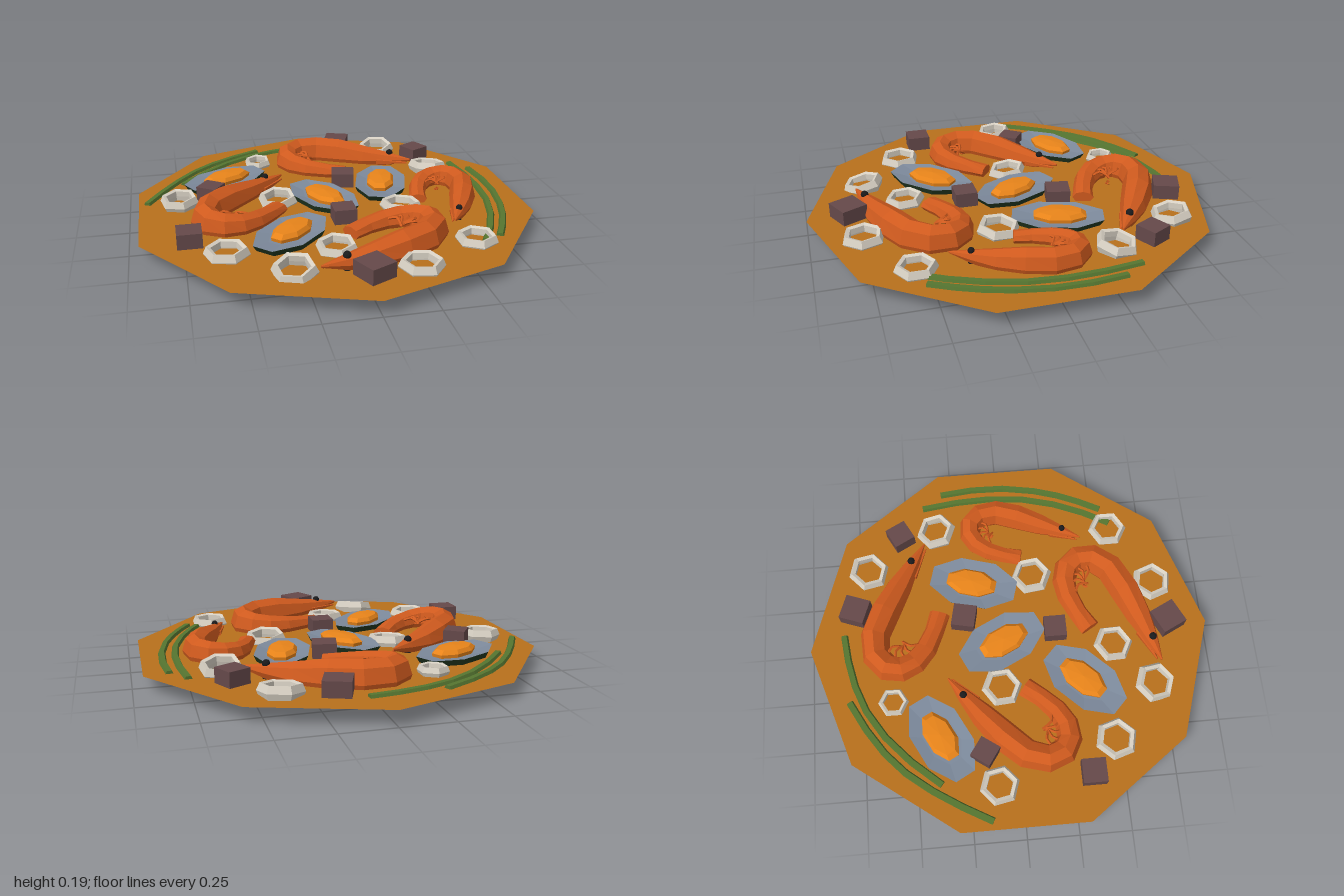
import * as THREE from 'three';

const mat = (color, side = THREE.FrontSide) => new THREE.MeshStandardMaterial({ color, flatShading: true, side });
const sauceMat = mat(0xb8701c, THREE.DoubleSide);
const prawnMat = mat(0xcf5a1e);
const eyeMat = mat(0x1a1a1c);
const shellMat = mat(0x21361f);
const pearlMat = mat(0x7d8a9c);
const fleshMat = mat(0xe8841a);
const ringMat = mat(0xd6cfc2);
const cubeMat = mat(0x65494a);
const beanMat = mat(0x557530);

function add(parent, name, geometry, material, x = 0, y = 0, z = 0) {
  const mesh = new THREE.Mesh(geometry, material);
  mesh.name = name;
  mesh.position.set(x, y, z);
  parent.add(mesh);
  return mesh;
}

// Capped loft of ellipses along a path; each station is [x, y, z, halfWidth, halfHeight]
function loft(stations, sides) {
  const pos = [], index = [], n = stations.length;
  const at = (i) => new THREE.Vector3(...stations[Math.min(Math.max(i, 0), n - 1)].slice(0, 3));
  const up = new THREE.Vector3(0, 1, 0);
  stations.forEach(([x, y, z, w, h], i) => {
    const dir = at(i + 1).sub(at(i - 1)).setY(0).normalize();
    const side = up.clone().cross(dir);
    for (let j = 0; j < sides; j++) {
      const a = ((j + 0.5) / sides) * Math.PI * 2 + Math.PI / sides;
      pos.push(x + side.x * w * Math.cos(a), y + h * Math.sin(a), z + side.z * w * Math.cos(a));
    }
  });
  for (let i = 0; i < n - 1; i++) {
    for (let j = 0; j < sides; j++) {
      const k = (j + 1) % sides, a = i * sides, b = a + sides;
      index.push(a + j, a + k, b + k, a + j, b + k, b + j);
    }
  }
  const first = n * sides, end = (n - 1) * sides;
  pos.push(...at(0).toArray(), ...at(n - 1).toArray());
  for (let j = 0; j < sides; j++) {
    const k = (j + 1) % sides;
    index.push(first, k, j, first + 1, end + j, end + k);
  }
  const g = new THREE.BufferGeometry();
  g.setAttribute('position', new THREE.Float32BufferAttribute(pos, 3));
  g.setIndex(index);
  g.computeVertexNormals();
  return g;
}

const lathe = (profile, sides, phi = 0) =>
  new THREE.LatheGeometry(profile.map(([x, y]) => new THREE.Vector2(x, y)), sides, phi);

// Curled prawn lying on its side, origin at the middle of its curl
function makePrawn() {
  const prawn = new THREE.Group();
  prawn.name = 'prawn';
  const body = [
    [0.55, 0.02, 0.14, 0.004, 0.006], [0.45, 0.01, 0.075, 0.036, 0.036], [0.33, 0, 0.0, 0.064, 0.068],
    [0.2, 0, -0.075, 0.077, 0.092], [0.07, 0, -0.132, 0.074, 0.095], [-0.04, 0, -0.128, 0.07, 0.093],
    [-0.103, 0, -0.075, 0.068, 0.088], [-0.115, 0, -0.005, 0.064, 0.078], [-0.085, 0, 0.062, 0.06, 0.067],
    [-0.02, 0, 0.12, 0.055, 0.055], [0.07, 0, 0.165, 0.049, 0.042], [0.165, 0, 0.198, 0.052, 0.03],
  ];
  add(prawn, 'prawnBody', loft(body, 8), prawnMat);
  add(prawn, 'prawnFeeler', loft([[0.38, 0, 0.07, 0.025, 0.02], [0.53, 0.005, 0.145, 0.004, 0.004]], 5), prawnMat);
  for (const s of [1, -1]) {
    add(prawn, 'prawnEye', new THREE.IcosahedronGeometry(0.019, 1), eyeMat, 0.45, 0.01 + s * 0.036, 0.07);
    // Swimming legs curling into the hollow
    for (let i = 0; i < 5; i++) {
      const a = 1.7 + i * 0.6;
      const p = (r, t, y) => new THREE.Vector3(0.01 + r * Math.cos(a + t), s * y, r * Math.sin(a + t));
      const curve = new THREE.CatmullRomCurve3([p(0.085, 0, 0.03), p(0.05, 0.25, 0.04), p(0.02, -0.1, 0.03), p(0.015, -1.4, 0.015)]);
      add(prawn, 'prawnLeg', new THREE.TubeGeometry(curve, 5, 0.007, 4), prawnMat);
    }
  }
  return prawn;
}

// Open mussel: dark bowl, pearly inside, plump flesh
function makeMussel() {
  const mussel = new THREE.Group();
  mussel.name = 'mussel';
  const phi = Math.PI / 8;
  const bowl = lathe([[0, 0.02], [0.55, 0.035], [0.9, 0.07], [1, 0.105]], 8, phi);
  const pearl = lathe([[1, 0.105], [0.6, 0.094], [0, 0.088]], 8, phi);
  for (const g of [bowl, pearl]) g.scale(0.237, 1, 0.138);
  const flesh = lathe([[0.96, 0.085], [1, 0.11], [0.8, 0.128], [0, 0.134]], 8, phi).scale(0.136, 1, 0.074);
  add(mussel, 'musselShell', bowl, shellMat);
  add(mussel, 'musselInside', pearl, pearlMat);
  add(mussel, 'musselFlesh', flesh, fleshMat, 0.01);
  return mussel;
}

export function createModel() {
  const model = new THREE.Group();
  model.name = 'seafoodDish';

  // Ten-sided flat base with a corner at the back
  const base = add(model, 'base', new THREE.CircleGeometry(1, 10, Math.PI / 2), sauceMat, 0, 0.075, 0);
  base.rotation.x = -Math.PI / 2;

  // Prawns: x, z, clockwise turn in degrees, scale
  for (const [x, z, turn, s] of [[-0.02, -0.54, 0, 1], [-0.51, 0.14, -71, 0.97], [0.26, 0.41, 130, 1], [0.575, -0.06, 84, 0.84]]) {
    const prawn = makePrawn();
    prawn.position.set(x, 0.096, z);
    prawn.rotation.y = -THREE.MathUtils.degToRad(turn);
    prawn.scale.setScalar(s);
    model.add(prawn);
  }

  // Mussels: x, z, clockwise turn in degrees
  for (const [x, z, turn] of [[-0.5, -0.37, -28], [-0.035, -0.04, 64], [0.295, -0.16, -74], [-0.265, 0.35, -46]]) {
    const mussel = makeMussel();
    mussel.position.set(x, 0, z);
    mussel.rotation.y = -THREE.MathUtils.degToRad(turn);
    model.add(mussel);
  }

  // Squid rings: x, z, radius, height of centre, turn, tilt
  const ringGeo = lathe([[0.68, -0.26], [0.86, -0.32], [1, 0], [0.86, 0.32], [0.68, 0.26], [0.66, 0], [0.68, -0.26]], 6);
  const rings = [
    [-0.3, -0.595, 0.075, 0.09, 0, 0.05], [0.41, -0.695, 0.104, 0.09, 0.25, 0.12], [0.61, -0.335, 0.104, 0.095, 0.15, -0.15],
    [-0.75, -0.11, 0.098, 0.1, 0.2, 0.05], [-0.265, -0.06, 0.102, 0.085, 0.1, 0.1], [0.32, 0.14, 0.106, 0.085, 0.1, -0.08],
    [-0.57, 0.47, 0.106, 0.08, 0.3, 0], [-0.085, 0.515, 0.1, 0.082, 0.05, 0.05], [-0.305, 0.695, 0.105, 0.085, 0.2, 0.18],
    [0.235, 0.755, 0.104, 0.082, 0.35, 0], [0.555, 0.565, 0.1, 0.082, 0, 0],
  ];
  for (const [x, z, r, y, turn, tilt] of rings) {
    const ring = add(model, 'squidRing', ringGeo, ringMat, x, y, z);
    ring.scale.setScalar(r);
    ring.rotation.set(tilt, turn, tilt / 2);
  }

  // Meat cubes: x, z, width, clockwise turn in degrees
  for (const [x, z, w, turn] of [
    [0.185, -0.765, 0.125, 20], [0.585, -0.52, 0.11, -28], [0.105, -0.22, 0.115, 12], [-0.59, -0.165, 0.105, 35],
    [-0.725, 0.34, 0.115, 0], [0.01, 0.23, 0.108, 0], [0.015, 0.8, 0.13, -26],
  ]) {
    const cube = add(model, 'meatCube', new THREE.BoxGeometry(w, 0.072, w), cubeMat, x, 0.117, z);
    cube.rotation.y = -THREE.MathUtils.degToRad(turn);
  }

  // Green beans bent along the rim
  const beans = [
    [[-0.91, -0.15], [-0.79, -0.36], [-0.65, -0.55], [-0.49, -0.69], [-0.28, -0.81]],
    [[-0.72, -0.38], [-0.53, -0.59], [-0.33, -0.73], [-0.13, -0.8], [0.07, -0.83]],
    [[0.76, -0.4], [0.79, -0.13], [0.775, 0.13], [0.7, 0.38], [0.595, 0.58]],
    [[0.835, -0.3], [0.855, -0.05], [0.82, 0.2], [0.76, 0.38], [0.68, 0.54]],
  ];
  for (const path of beans) {
    const curve = new THREE.CatmullRomCurve3(path.map(([x, z]) => new THREE.Vector3(x, 0.063, z)));
    const stations = curve.getPoints(6).map((p) => [p.x, p.y, p.z, 0.023, 0.03]);
    add(model, 'greenBean', loft(stations, 6), beanMat);
  }
  return model;
}
